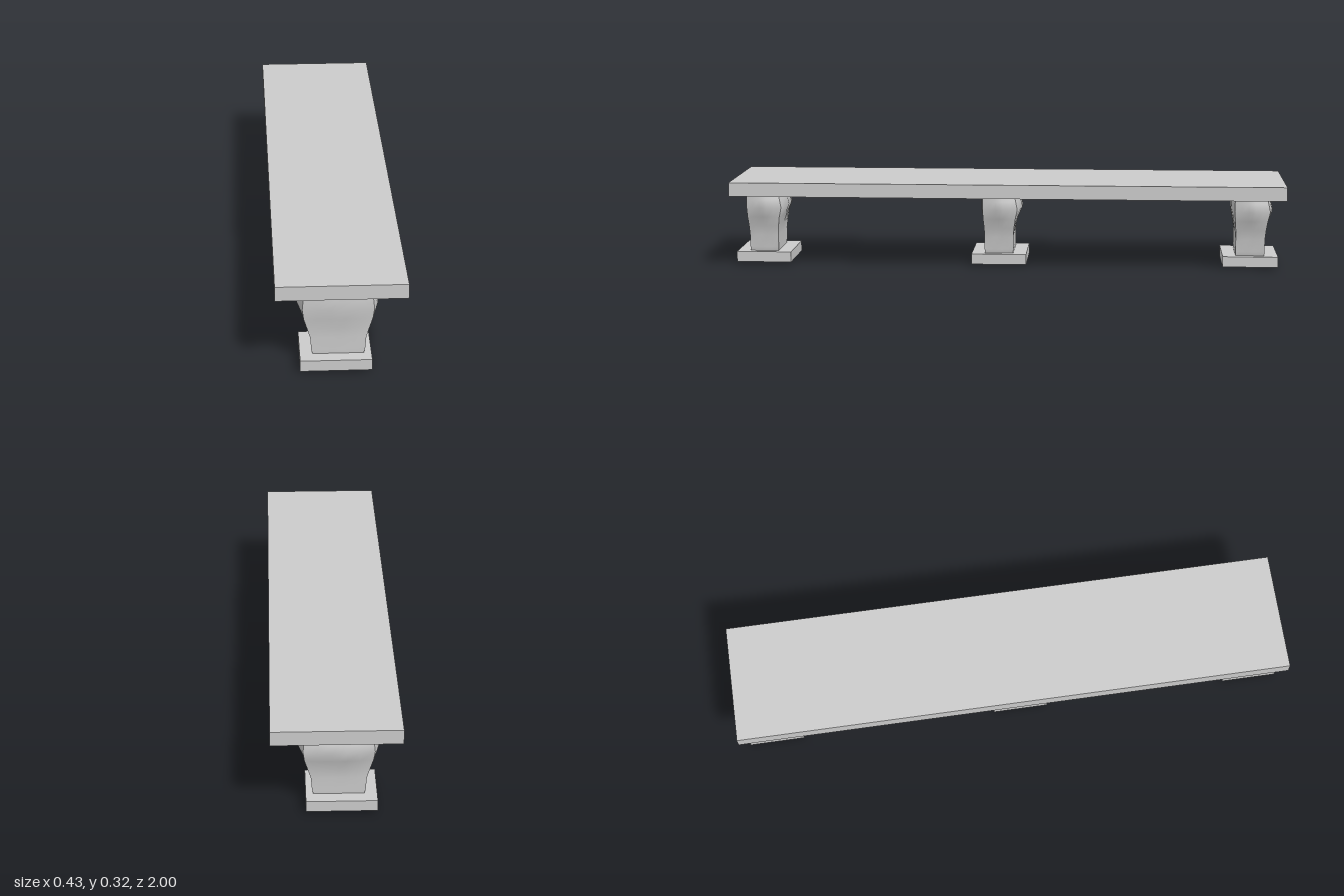
import * as THREE from 'three';
import { mergeGeometries } from 'three/addons/utils/BufferGeometryUtils.js';

const material = new THREE.MeshStandardMaterial({ color: 0xcccccc, side: THREE.DoubleSide });
const CX = -0.009; // pedestal axis in x
const COLUMNS = [-1, -0.6, -0.2, 0, 0.2, 0.6, 1];

// Pedestal levels: height, corner half width, corner front z, corner back z, then bulge of sides, front, back
const LEVELS = [
  [0.043, 0.083, 0.052, -0.051, 0, 0, 0],
  [0.06, 0.088, 0.053, -0.052, 0, 0, 0],
  [0.105, 0.0915, 0.053, -0.052, 0, 0, 0],
  [0.14, 0.102, 0.054, -0.055, 0, 0.002, 0.002],
  [0.175, 0.1125, 0.057, -0.06, 0.002, 0.006, 0.008],
  [0.21, 0.117, 0.059, -0.068, 0.016, 0.011, 0.015],
  [0.24, 0.114, 0.059, -0.062, 0.016, 0.011, 0.014],
  [0.268, 0.11, 0.058, -0.055, 0.0145, 0.01, 0.012],
];

function box(name, x0, x1, y0, y1, z0, z1) {
  const mesh = new THREE.Mesh(new THREE.BoxGeometry(x1 - x0, y1 - y0, z1 - z0), material);
  mesh.position.set((x0 + x1) / 2, (y0 + y1) / 2, (z0 + z1) / 2);
  mesh.name = name;
  return mesh;
}

// Smooth sheet through rows of points, columns running left to right and rows bottom to top
function sheet(rows) {
  const n = rows[0].length;
  const index = [];
  for (let r = 0; r < rows.length - 1; r++) {
    for (let c = 0; c < n - 1; c++) {
      const a = r * n + c;
      index.push(a, a + 1, a + n + 1, a, a + n + 1, a + n);
    }
  }
  const geometry = new THREE.BufferGeometry();
  geometry.setAttribute('position', new THREE.Float32BufferAttribute(rows.flat(2), 3));
  geometry.setIndex(index);
  geometry.computeVertexNormals();
  return geometry;
}

// Front or back face: bulges in two lobes, with a notch cut in the middle of the top edge
function endFace(sign) {
  return LEVELS.map(([y, hw, zf, zb, , bf, bb], i) => COLUMNS.map((u) => {
    const notch = u === 0 && i === LEVELS.length - 1;
    const groove = u === 0 && y > 0.2 ? 0.7 : 1;
    const bulge = (sign > 0 ? bf : -bb) * (1 - u * u) * groove;
    return [CX + sign * u * hw, notch ? 0.254 : y, (sign > 0 ? zf : zb) + bulge];
  }));
}

// Left or right face: one rounded bulge
function sideFace(sign) {
  return LEVELS.map(([y, hw, zf, zb, bs]) => COLUMNS.map((u) => [
    CX + sign * (hw + bs * (1 - u * u)),
    y,
    (zf + zb) / 2 - (sign * u * (zf - zb)) / 2,
  ]));
}

function pedestalGeometry() {
  const front = endFace(1);
  const back = endFace(-1);
  const top = LEVELS.length - 1;
  // Valley running between the two notches
  const valley = [front[top].slice(2, 5), back[top].slice(2, 5).reverse()];
  return mergeGeometries([front, back, sideFace(1), sideFace(-1), valley].map(sheet));
}

export function createModel() {
  const group = new THREE.Group();
  group.name = 'bench';
  group.add(box('seat', -0.215, 0.215, 0.267, 0.317, -1, 1));

  const geometry = pedestalGeometry();
  const supports = { frontSupport: 0.898, middleSupport: 0.032, backSupport: -0.882 };
  for (const [name, z] of Object.entries(supports)) {
    const support = new THREE.Group();
    support.name = name;
    support.position.z = z;
    const pedestal = new THREE.Mesh(geometry, material);
    pedestal.name = 'pedestal';
    support.add(
      pedestal,
      box('plinth', -0.135, 0.1, 0.007, 0.045, -0.1, 0.1),
      box('foot', -0.075, 0.056, 0, 0.007, -0.038, 0.038),
    );
    group.add(support);
  }
  return group;
}
